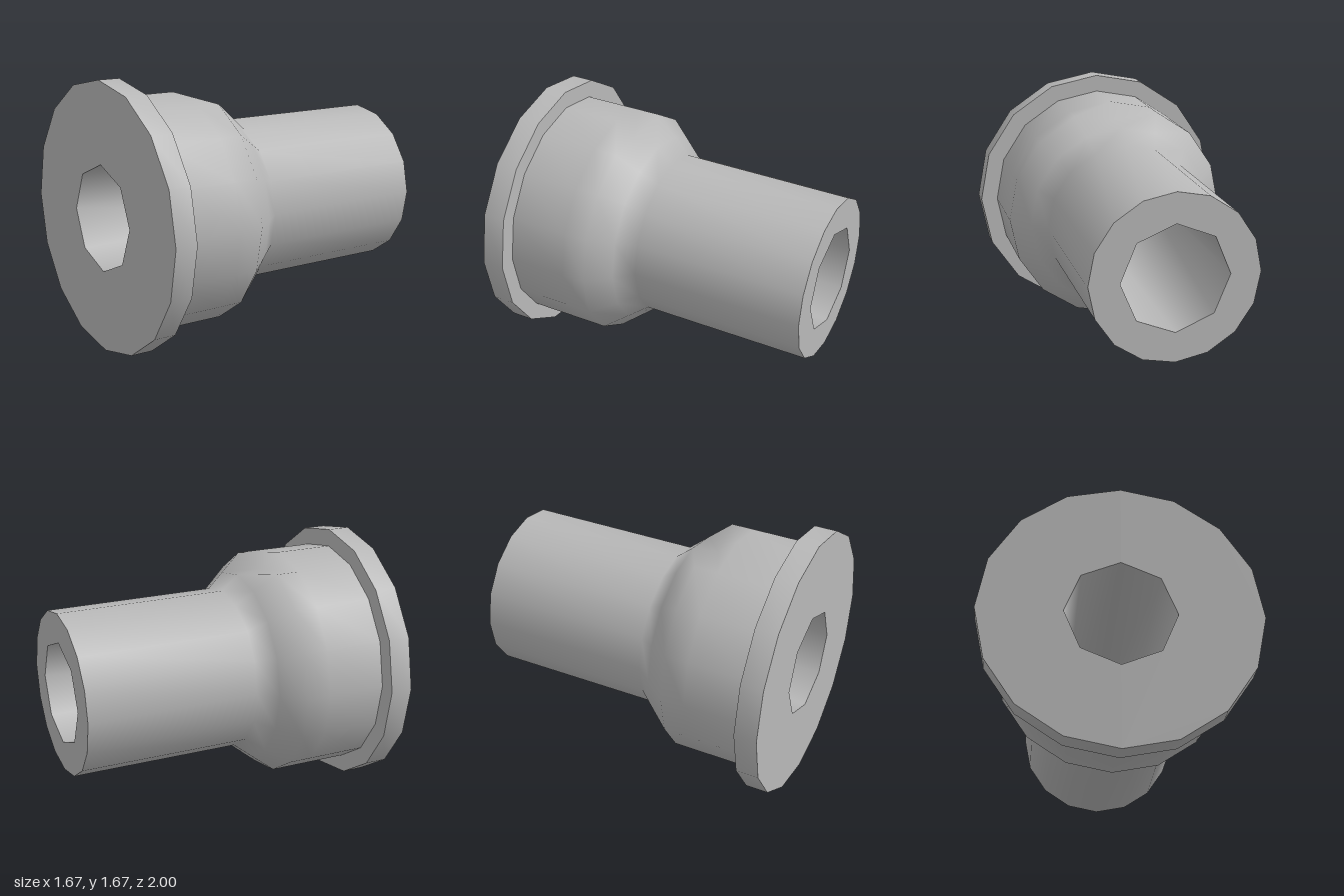
import * as THREE from 'three';

const AXIS_Y = 0.835, SIDES = 16, BORE_SIDES = 8, BORE_R = 0.33;

// Skin between polygon rings given as [z, radius]; faces outward when z decreases.
function loft(rings, sides, adjust) {
  const pos = [], index = [];
  rings.forEach(([z, r], j) => {
    for (let i = 0; i < sides; i++) {
      const a = (i / sides) * Math.PI * 2;
      const [pz, pr] = (adjust && adjust(j, i)) || [z, r];
      pos.push(pr * Math.cos(a), pr * Math.sin(a), pz);
    }
  });
  for (let j = 0; j < rings.length - 1; j++) {
    for (let i = 0; i < sides; i++) {
      const a = j * sides + i, b = j * sides + (i + 1) % sides;
      const c = a + sides, d = b + sides;
      index.push(a, c, b, b, c, d);
    }
  }
  const g = new THREE.BufferGeometry();
  g.setAttribute('position', new THREE.Float32BufferAttribute(pos, 3));
  g.setIndex(index);
  g.computeVertexNormals();
  return g;
}

function polygon(r, sides) {
  return Array.from({ length: sides }, (_, i) => {
    const a = (i / sides) * Math.PI * 2;
    return new THREE.Vector2(r * Math.cos(a), r * Math.sin(a));
  });
}

// Flat end face with the octagonal bore opening
function endFace(r) {
  const shape = new THREE.Shape(polygon(r, SIDES));
  shape.holes.push(new THREE.Path(polygon(BORE_R, BORE_SIDES)));
  return new THREE.ShapeGeometry(shape);
}

export function createModel() {
  const group = new THREE.Group();
  group.name = 'flangedSleeve';
  const grey = new THREE.MeshStandardMaterial({ color: 0xb8b8b8 });
  grey.name = 'grey';
  const add = (name, geometry) => {
    const mesh = new THREE.Mesh(geometry, grey);
    mesh.name = name;
    mesh.position.y = AXIS_Y;
    group.add(mesh);
  };

  // Flange rim, its front face and its rear shoulder
  add('flangeRim', loft([[1, 0.835], [0.86, 0.835]], SIDES));
  add('flangeFront', endFace(0.835).translate(0, 0, 1));
  add('flangeBack', loft([[0.86, 0.835], [0.86, 0.725]], SIDES));

  // Collar tapering smoothly into the tube, with a small notch on top of the shoulder
  const profile = [[0.86, 0.725], [0.49, 0.725], [0.34, 0.725], [0.2, 0.609], [0.09, 0.517], [-1, 0.517]];
  const notch = (j, i) => (j === 2 && i === SIDES / 4 ? [0.37, 0.63] : null);
  add('collarAndTube', loft(profile, SIDES, notch));

  // Rear end of the tube
  add('tubeEnd', endFace(0.517).rotateY(Math.PI).translate(0, 0, -1));

  // Octagonal bore, facing inward
  add('bore', loft([[-1, BORE_R], [1, BORE_R]], BORE_SIDES));

  return group;
}
